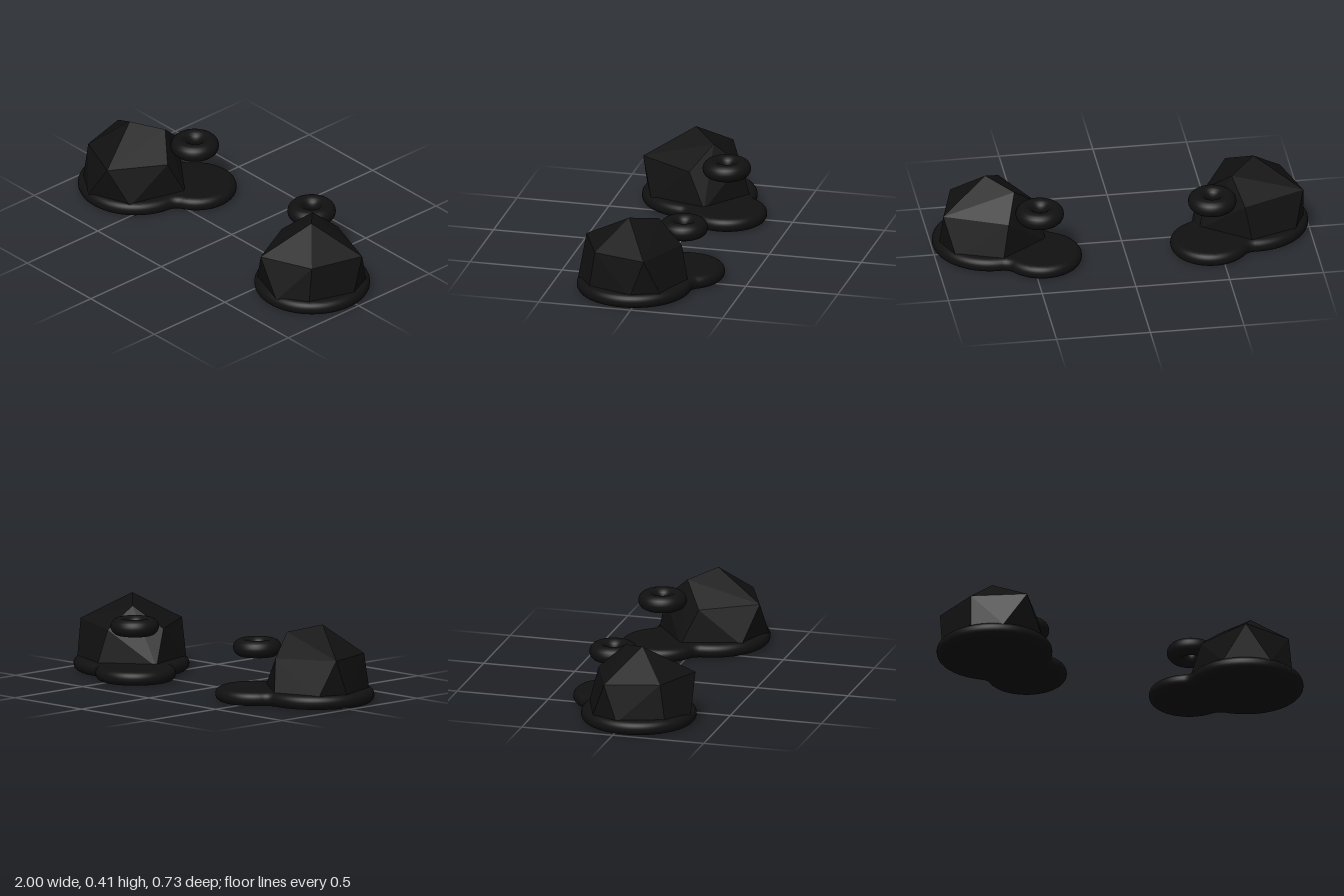
import * as THREE from 'three';
import { toCreasedNormals } from 'three/addons/utils/BufferGeometryUtils.js';
import { ConvexGeometry } from 'three/addons/geometries/ConvexGeometry.js';

const COLOR = 0x111111;
const smoothMaterial = new THREE.MeshStandardMaterial({ color: COLOR });
const facetMaterial = new THREE.MeshStandardMaterial({ color: COLOR, flatShading: true });

function part(name, geometry, material) {
  const mesh = new THREE.Mesh(geometry, material);
  mesh.name = name;
  return mesh;
}

// Outline of two discs blended by concave fillets, pulled in by the edge rounding
function twoDiscShape(c1, r1, c2, r2, fillet, inset) {
  const axis = c2.clone().sub(c1);
  const d = axis.length();
  const t = Math.atan2(axis.y, axis.x);
  const A = r1 + fillet, B = r2 + fillet;
  const a = Math.acos((A * A + d * d - B * B) / (2 * A * d));
  const b = Math.acos((B * B + d * d - A * A) / (2 * B * d));
  const filletCentre = (angle) =>
    new THREE.Vector2(c1.x + A * Math.cos(angle), c1.y + A * Math.sin(angle));
  const f1 = filletCentre(t - a), f2 = filletCentre(t + a);
  const pi = Math.PI, fr = fillet + inset;
  const shape = new THREE.Shape();
  shape.absarc(c1.x, c1.y, r1 - inset, t + a, t - a + 2 * pi, false);
  shape.absarc(f1.x, f1.y, fr, t - a + pi, t + b, true);
  shape.absarc(c2.x, c2.y, r2 - inset, t + pi + b, t + 3 * pi - b, false);
  shape.absarc(f2.x, f2.y, fr, t - b, t + a - pi, true);
  return shape;
}

// Flat plate with a fully rounded rim
function basePlate(side) {
  const rim = 0.036;
  const shape = twoDiscShape(
    new THREE.Vector2(side * 0.695, -0.055), 0.305,
    new THREE.Vector2(side * 0.45, 0.155), 0.212, 0.06, rim);
  const geometry = new THREE.ExtrudeGeometry(shape, {
    depth: 0.003, bevelEnabled: true, bevelThickness: rim, bevelSize: rim,
    bevelSegments: 6, curveSegments: 32,
  });
  geometry.rotateX(-Math.PI / 2);
  geometry.translate(0, rim, 0);
  return part('basePlate', toCreasedNormals(geometry, 0.5), smoothMaterial);
}

// Faceted boulder: foot ring, shoulder ring and two peaks
function boulder(side) {
  const rings = [
    [0.06, [[0.89, 0.254], [0.972, 0.012], [0.905, -0.14], [0.665, -0.228],
      [0.41, -0.04], [0.5, 0.27], [0.74, 0.352]]],
    [0.26, [[0.88, 0.225], [0.96, -0.06], [0.605, 0.34]]],
    [0.25, [[0.45, 0.05], [0.63, -0.185]]],
    [0.41, [[0.715, 0.08]]],
    [0.37, [[0.58, -0.05]]],
  ];
  const points = rings.flatMap(([y, ring]) =>
    ring.map(([x, z]) => new THREE.Vector3(side * x, y, z)));
  return part('boulder', new ConvexGeometry(points), facetMaterial);
}

// Floating ring above the small end of the plate
function floatingRing(side) {
  const geometry = new THREE.TorusGeometry(0.082, 0.046, 20, 48);
  geometry.rotateX(Math.PI / 2);
  geometry.translate(side * 0.46, 0.286, -0.152);
  return part('floatingRing', geometry, smoothMaterial);
}

export function createModel() {
  const model = new THREE.Group();
  model.name = 'boulderPair';
  for (const side of [1, -1]) {
    const half = new THREE.Group();
    half.name = side > 0 ? 'leftHalf' : 'rightHalf';
    half.add(basePlate(side), boulder(side), floatingRing(side));
    model.add(half);
  }
  return model;
}
